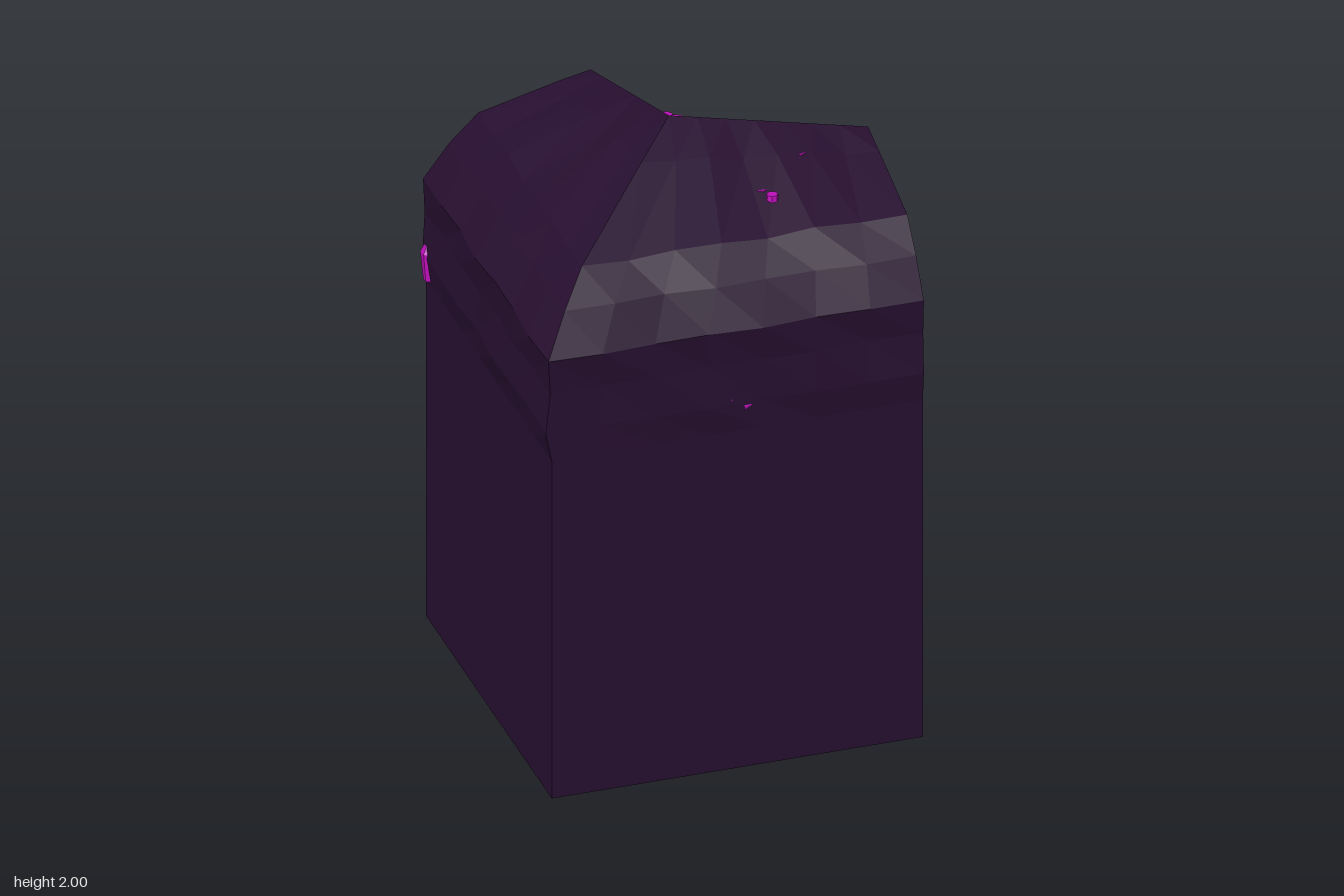
import * as THREE from 'three';

const rock = new THREE.MeshStandardMaterial({ color: 0x270f30, flatShading: true, side: THREE.DoubleSide });
rock.name = 'dark purple rock';
const gem = new THREE.MeshStandardMaterial({ color: 0xbd10ba, flatShading: true });
gem.name = 'magenta crystal';

// Shell cross-sections, bottom to crown: [x, y, z] on the shared corner ridge and at both free ends
const ridge = [[-0.61, 1.2, 0.61], [-0.63, 1.3, 0.612], [-0.614, 1.44, 0.608], [-0.622, 1.56, 0.615],
  [-0.545, 1.69, 0.545], [-0.46, 1.79, 0.46], [-0.16, 1.94, 0.15], [-0.02, 2.0, 0]];
const frontEnd = [[0.605, 1.2, 0.61], [0.605, 1.3, 0.62], [0.605, 1.44, 0.613], [0.605, 1.56, 0.62],
  [0.605, 1.68, 0.545], [0.605, 1.78, 0.46], [0.605, 1.86, 0.19], [0.605, 1.89, 0.08]];
const sideEnd = [[-0.61, 1.2, -0.605], [-0.622, 1.3, -0.605], [-0.615, 1.44, -0.605], [-0.62, 1.56, -0.605],
  [-0.54, 1.68, -0.59], [-0.45, 1.78, -0.575], [-0.2, 1.87, -0.535], [-0.1, 1.9, -0.52]];

// Sheet between the ridge and a free end, slightly bumpy across its outward axis
function shellArm(name, end, axis, sign, flip) {
  const cols = 7, pos = [], idx = [];
  ridge.forEach((a, r) => {
    for (let c = 0; c <= cols; c++) {
      const t = c / cols;
      const p = a.map((v, k) => v + (end[r][k] - v) * t);
      const inner = c > 0 && c < cols ? 1 : 0;
      const bump = inner * 0.008 * Math.sin(c * 2.3 + r * 1.7);
      if (r > 0 && r < 7) p[r < 5 ? axis : 1] += r < 5 ? sign * bump : bump;
      pos.push(...p);
      if (r < ridge.length - 1 && c < cols) {
        const i = r * (cols + 1) + c, j = i + cols + 1;
        if (flip) idx.push(i, j, i + 1, i + 1, j, j + 1);
        else idx.push(i, i + 1, j, i + 1, j + 1, j);
      }
    }
  });
  const g = new THREE.BufferGeometry();
  g.setAttribute('position', new THREE.Float32BufferAttribute(pos, 3));
  g.setIndex(idx);
  g.computeVertexNormals();
  const m = new THREE.Mesh(g, rock);
  m.name = name;
  return m;
}

// Faceted crystal of unit height and unit radius, growing up from its foot
const crystalGeo = new THREE.LatheGeometry(
  [[0, 0], [0.7, 0], [1, 0.62], [0.55, 0.85], [0, 1]].map(([x, y]) => new THREE.Vector2(x, y)), 7);

function crystal(x, y, z, h, r, tiltX = 0, tiltZ = 0, down = false) {
  const m = new THREE.Mesh(crystalGeo, gem);
  m.name = down ? 'hangingCrystal' : 'crystal';
  m.position.set(x, y, z);
  m.scale.set(r, h, r);
  m.rotation.set(tiltX + (down ? Math.PI : 0), x * 9 + z * 5, tiltZ);
  return m;
}

// Main crystal with smaller leaning companions; along is the axis the companions spread on
function cluster(name, x, y, z, h, r, along, count, down = false) {
  const g = new THREE.Group();
  g.name = name;
  g.add(crystal(x, y, z, h, r, 0, 0, down));
  for (let i = 1; i < count; i++) {
    const s = i % 2 ? 1 : -1, d = s * r * 1.45;
    const dx = along === 'x' ? d : s * r * 0.25, dz = along === 'z' ? d : s * r * 0.25;
    const lean = down ? 0 : s * 0.12;
    g.add(crystal(x + dx, y, z + dz, h * (i % 2 ? 0.72 : 0.6), r * 0.75,
      along === 'z' ? lean : 0, along === 'x' ? -lean : 0, down));
  }
  return g;
}

export function createModel() {
  const model = new THREE.Group();
  model.name = 'crystalCave';

  // Solid block
  const block = new THREE.Mesh(new THREE.BoxGeometry(1.215, 1.22, 1.215), rock);
  block.name = 'baseBlock';
  block.position.set(-0.002, 0.61, 0.002);
  model.add(block);

  // Overhanging shell on two sides
  model.add(shellArm('frontShell', frontEnd, 2, 1, false));
  model.add(shellArm('sideShell', sideEnd, 0, -1, true));

  // Crystals on the floor: x, z, height, radius, spread axis, count
  const floor = [
    [-0.53, -0.56, 0.25, 0.05, 'x', 3], [-0.26, -0.57, 0.16, 0.036, 'x', 3],
    [-0.13, -0.58, 0.13, 0.036, 'x', 2], [0.03, -0.56, 0.22, 0.044, 'x', 3],
    [0.3, -0.53, 0.15, 0.038, 'x', 1], [0.23, -0.53, 0.11, 0.032, 'x', 1],
    [0.53, -0.55, 0.18, 0.042, 'x', 3],
    [-0.55, 0.31, 0.16, 0.038, 'z', 2], [-0.565, 0.16, 0.16, 0.045, 'z', 2],
    [-0.55, 0, 0.23, 0.05, 'z', 3], [-0.55, -0.26, 0.15, 0.036, 'z', 1],
    [-0.55, -0.2, 0.1, 0.03, 'z', 1],
    [-0.3, 0.54, 0.16, 0.04, 'x', 2], [-0.02, 0.575, 0.16, 0.04, 'x', 2],
    [0.25, 0.54, 0.18, 0.04, 'x', 3],
    [0.57, 0.555, 0.26, 0.055, 'z', 1], [0.54, 0.5, 0.28, 0.05, 'z', 1],
    [0.55, 0.455, 0.17, 0.034, 'z', 1],
  ];
  for (const [x, z, h, r, along, n] of floor) {
    model.add(cluster('floorCrystals', x, 1.215, z, h, r, along, n));
  }

  // Crystals under the roof: x, y, z, height, radius
  const roof = [
    [0.56, 1.77, 0.39, 0.16, 0.034], [0.56, 1.75, 0.44, 0.11, 0.028],
    [0.19, 1.85, 0.27, 0.15, 0.034], [0.21, 1.85, 0.32, 0.1, 0.026],
    [0.55, 1.88, 0.11, 0.13, 0.03], [0.35, 1.89, 0.16, 0.14, 0.032],
    [0.01, 1.97, -0.02, 0.25, 0.046], [0.0, 1.95, -0.09, 0.17, 0.034],
    [-0.28, 1.84, -0.3, 0.2, 0.04], [-0.28, 1.83, -0.37, 0.15, 0.034],
  ];
  for (const [x, y, z, h, r] of roof) model.add(crystal(x, y, z, h, r, 0, 0, true));

  return model;
}
